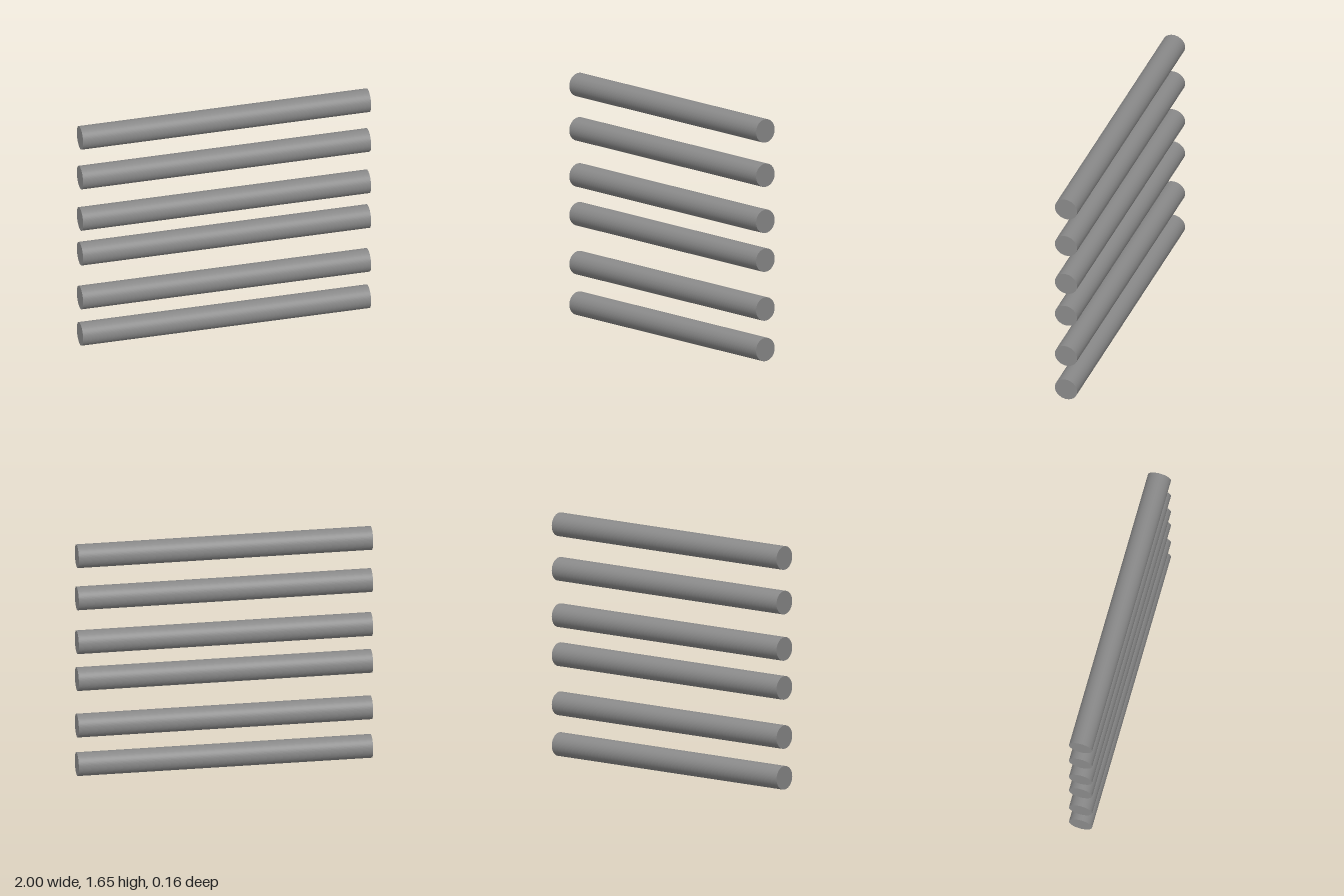
import * as THREE from 'three';

const RADIUS = 0.08;
const LENGTH = 2;
// Height of each bar's axis, from the lowest to the highest
const HEIGHTS = [0.08, 0.357, 0.691, 0.956, 1.271, 1.574];

export function createModel() {
  const model = new THREE.Group();
  model.name = 'horizontalBars';
  const material = new THREE.MeshStandardMaterial({ color: 0x888888, flatShading: true });

  // One round bar lying along x, finely faceted, shared by every rung
  const barGeometry = new THREE.CylinderGeometry(RADIUS, RADIUS, LENGTH, 64);
  barGeometry.rotateZ(Math.PI / 2);

  HEIGHTS.forEach((y, i) => {
    const bar = new THREE.Mesh(barGeometry, material);
    bar.name = `bar${i + 1}`;
    bar.position.y = y;
    model.add(bar);
  });

  return model;
}
